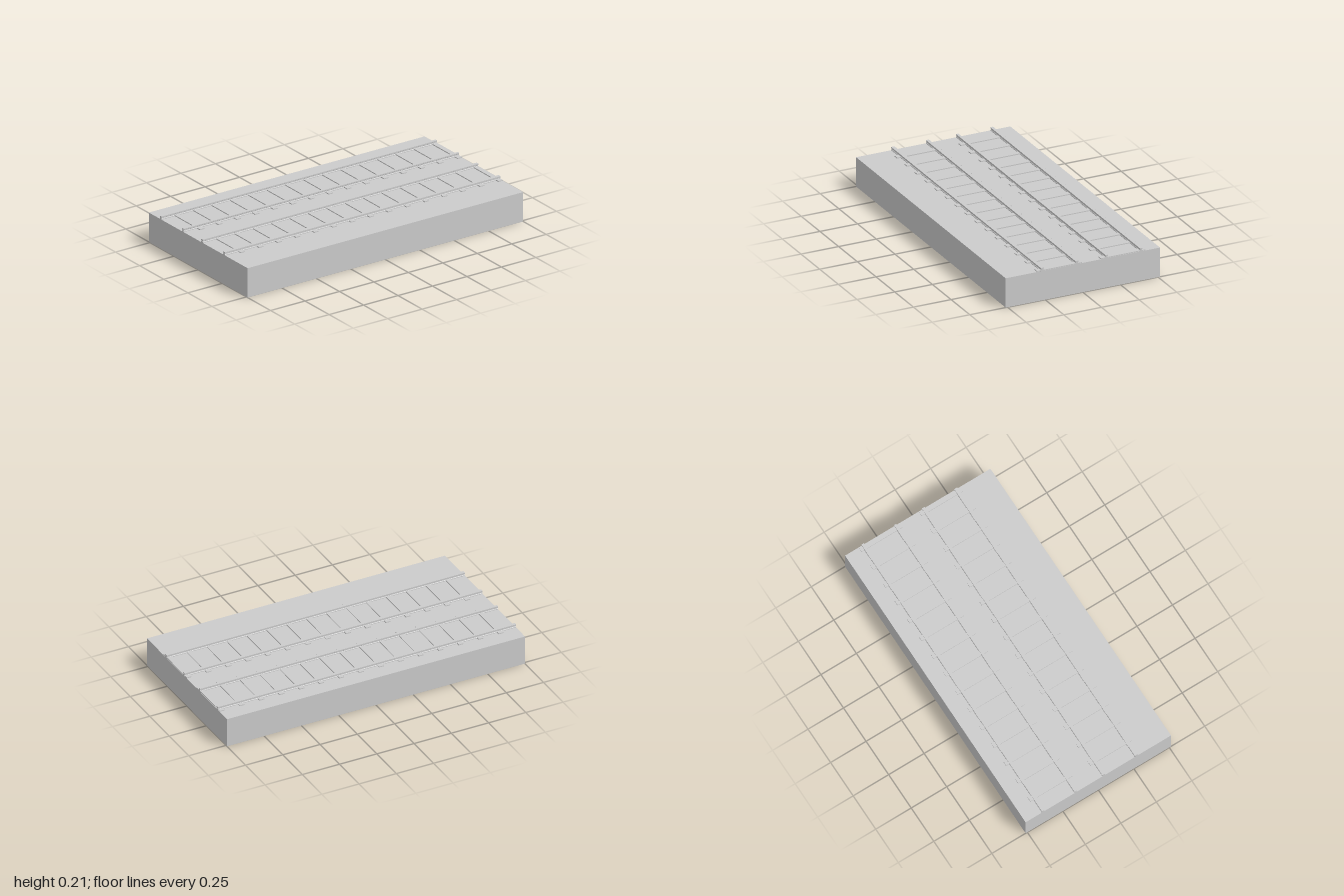
import * as THREE from 'three';

const TOP = 0.19; // upper face of the ground slab

export function createModel() {
  const group = new THREE.Group();
  const material = new THREE.MeshStandardMaterial({ color: 0xcccccc, flatShading: true });

  const add = (name, geometry, x, y, z) => {
    const mesh = new THREE.Mesh(geometry, material);
    mesh.name = name;
    mesh.position.set(x, y, z);
    group.add(mesh);
  };

  // Ground slab
  add('groundSlab', new THREE.BoxGeometry(2, TOP, 1.024), 0, TOP / 2, 0);

  // Rail with a narrow web under a wider head, running along x
  const railGeometry = (w) => {
    const half = [[w, 0], [w, 0.004], [w * 0.65, 0.007], [w * 0.65, 0.012], [w, 0.014], [w, 0.021]];
    const points = [...half, ...half.map(([x, y]) => [-x, y]).reverse()];
    const shape = new THREE.Shape(points.map(([x, y]) => new THREE.Vector2(x, y)));
    const geometry = new THREE.ExtrudeGeometry(shape, { depth: 2, bevelEnabled: false });
    return geometry.translate(0, 0, -1).rotateY(Math.PI / 2);
  };

  // Two tracks: sleeper centre, then each rail's z and half width
  const tracks = [
    { name: 'front', centre: 0.154, rails: [[0.268, 0.011], [0.039, 0.01]] },
    { name: 'back', centre: -0.269, rails: [[-0.159, 0.008], [-0.388, 0.009]] },
  ];
  const sleeper = new THREE.BoxGeometry(0.032, 0.007, 0.298);

  for (const { name, centre, rails } of tracks) {
    for (const [z, w] of rails) add(name + 'TrackRail', railGeometry(w), 0, TOP, z);
    for (let i = 0; i < 15; i++) {
      add(name + 'TrackSleeper', sleeper, -0.888 + i * 0.1336, TOP + 0.0025, centre);
    }
  }
  return group;
}
